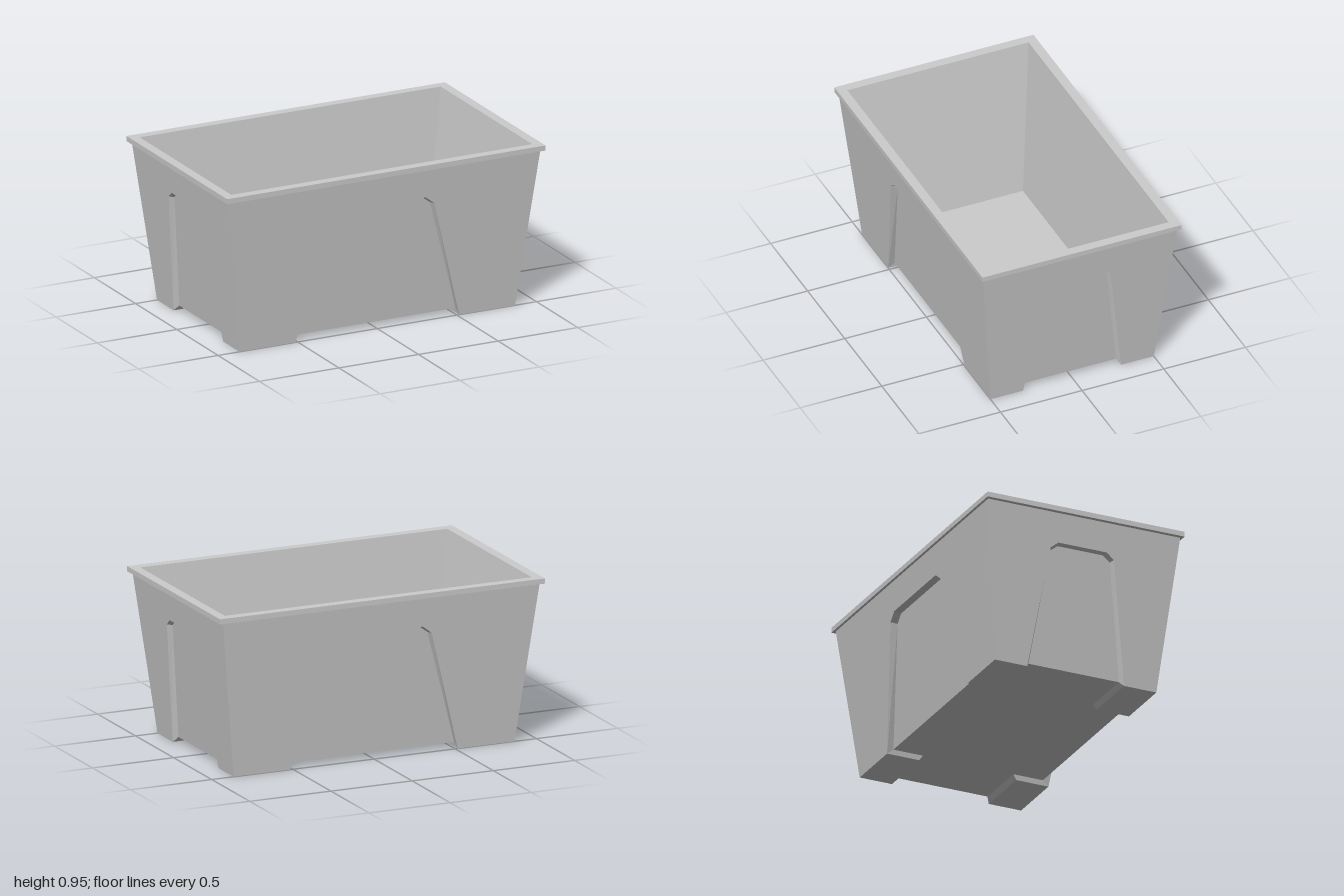
import * as THREE from 'three';

const material = new THREE.MeshStandardMaterial({ color: 0xcccccc });

// Key heights
const RIM_LOW = 0.925, RIM_TOP = 0.955, BASE = 0.03, FLOOR = 0.06;

// Two long and two short walls: half widths, distance from centre, recess depth
// and the right half of the recess outline at its outer and inner edge.
const LONG = {
  halfLow: 0.865, halfTop: 0.975, outLow: 0.5, outTop: 0.595, depth: 0.04,
  outer: [[0.515, 0], [0.32, 0.712], [0.265, 0.755]],
  inner: [[0.51, BASE], [0.313, 0.707], [0.26, 0.747]],
};
const SHORT = {
  halfLow: 0.5, halfTop: 0.595, outLow: 0.865, outTop: 0.975, depth: 0.03,
  outer: [[0.3, 0], [0.195, 0.717], [0.15, 0.753]],
  inner: [[0.28, BASE], [0.185, 0.712], [0.14, 0.746]],
};

const wallOut = (w, y) => w.outLow + (w.outTop - w.outLow) * y / RIM_LOW;

function mesh(name, geometry) {
  const m = new THREE.Mesh(geometry, material);
  m.name = name;
  return m;
}

// Flat-shaded geometry from a list of four-cornered faces
function quads(list) {
  const pos = list.flatMap(([a, b, c, d]) => [a, b, c, a, c, d].flat());
  const g = new THREE.BufferGeometry();
  g.setAttribute('position', new THREE.Float32BufferAttribute(pos, 3));
  g.computeVertexNormals();
  return g;
}

// Flat outline laid onto the leaning plane of a wall
function leaningShape(points, w, depth) {
  const shape = new THREE.Shape(points.map(([u, y]) => new THREE.Vector2(u, y)));
  const g = new THREE.ShapeGeometry(shape).toNonIndexed();
  const p = g.attributes.position;
  for (let i = 0; i < p.count; i++) p.setZ(i, wallOut(w, p.getY(i)) - depth);
  g.computeVertexNormals();
  return g;
}

// Mirrors half an outline into a full path running from left to right
const fullPath = (half) => [...half.map(([u, y]) => [-u, y]), ...half.slice().reverse()];

// One wall with its recessed panel
function createWall(w) {
  const group = new THREE.Group();
  const outer = fullPath(w.outer), inner = fullPath(w.inner);
  const face = [[-w.halfLow, 0], ...outer, [w.halfLow, 0], [w.halfTop, RIM_LOW], [-w.halfTop, RIM_LOW]];
  group.add(mesh('wallFace', leaningShape(face, w, 0)));
  group.add(mesh('recessedPanel', leaningShape(inner, w, w.depth)));
  const at = ([u, y], depth) => [u, y, wallOut(w, y) - depth];
  const edges = [];
  for (let i = 0; i < outer.length - 1; i++) {
    edges.push([at(outer[i], 0), at(inner[i], w.depth), at(inner[i + 1], w.depth), at(outer[i + 1], 0)]);
  }
  group.add(mesh('recessEdge', quads(edges)));
  return group;
}

// Rectangular loop of corners, and the faces joining a series of loops
const loop = (x, y, z) => [[x, y, z], [x, y, -z], [-x, y, -z], [-x, y, z]];
function loft(loops) {
  const list = [];
  for (let k = 0; k < loops.length - 1; k++) {
    for (let i = 0; i < 4; i++) {
      const j = (i + 1) % 4;
      list.push([loops[k][i], loops[k][j], loops[k + 1][j], loops[k + 1][i]]);
    }
  }
  return list;
}

// Corner foot: sole and the two inward faces, mirrored by sx and sz
function createFoot(sx, sz, panelX, panelZ) {
  const [x0, x1, z0, z1] = [LONG.outer[0][0], LONG.halfLow, SHORT.outer[0][0], SHORT.halfLow];
  const xi = LONG.inner[0][0], zi = SHORT.inner[0][0];
  const faces = [
    [[x0, 0, z0], [x1, 0, z0], [x1, 0, z1], [x0, 0, z1]],
    [[x0, 0, z1], [xi, BASE, panelZ], [xi, BASE, zi], [x0, 0, z0]],
    [[x0, 0, z0], [xi, BASE, zi], [panelX, BASE, zi], [x1, 0, z0]],
  ].map((f) => {
    const m = f.map(([x, y, z]) => [x * sx, y, z * sz]);
    return sx * sz < 0 ? m.reverse() : m;
  });
  return mesh('foot', quads(faces));
}

export function createModel() {
  const model = new THREE.Group();
  model.name = 'tub';

  // Four outer walls
  ['frontWall', 'leftWall', 'backWall', 'rightWall'].forEach((name, i) => {
    const wall = createWall(i % 2 ? SHORT : LONG);
    wall.name = name;
    wall.rotation.y = i * Math.PI / 2;
    model.add(wall);
  });

  // Overhanging rim
  model.add(mesh('rim', quads(loft([
    loop(0.97, RIM_LOW, 0.59), loop(1, RIM_LOW, 0.61), loop(1, RIM_TOP, 0.61), loop(0.945, RIM_TOP, 0.555),
  ]))));

  // Tapered cavity with floor
  const floor = loop(0.8, FLOOR, 0.455);
  model.add(mesh('cavity', quads([...loft([loop(0.945, RIM_TOP, 0.555), floor]), floor])));

  // Cross-shaped underside between the feet
  const panelX = wallOut(SHORT, BASE) - SHORT.depth, panelZ = wallOut(LONG, BASE) - LONG.depth;
  const xi = LONG.inner[0][0], zi = SHORT.inner[0][0];
  const cross = new THREE.Shape([
    [xi, panelZ], [-xi, panelZ], [-xi, zi], [-panelX, zi], [-panelX, -zi], [-xi, -zi],
    [-xi, -panelZ], [xi, -panelZ], [xi, -zi], [panelX, -zi], [panelX, zi], [xi, zi],
  ].map(([x, z]) => new THREE.Vector2(x, z)));
  const underside = mesh('underside', new THREE.ShapeGeometry(cross).rotateX(Math.PI / 2));
  underside.position.y = BASE;
  model.add(underside);

  // Four corner feet
  for (const sx of [1, -1]) for (const sz of [1, -1]) model.add(createFoot(sx, sz, panelX, panelZ));

  return model;
}
